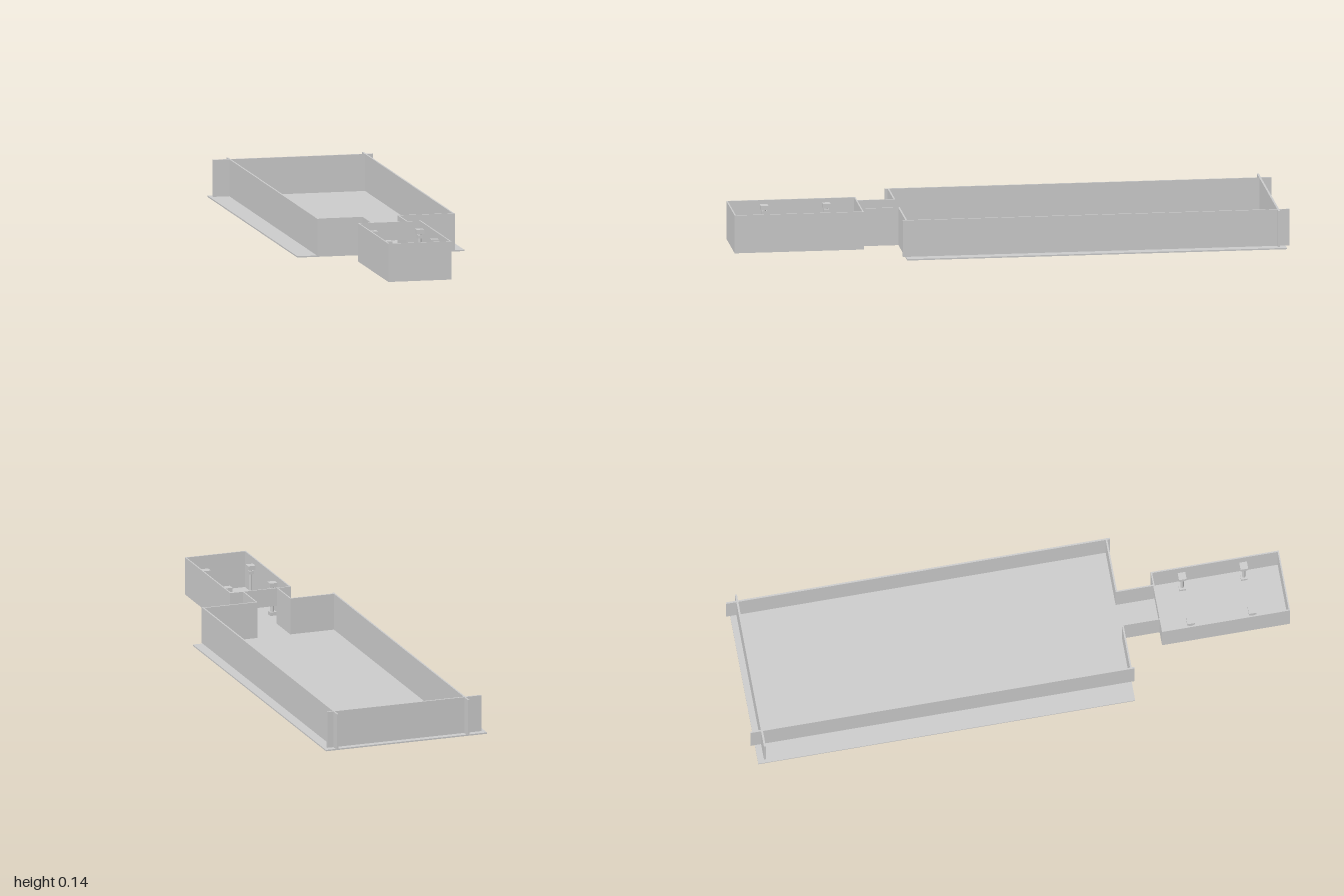
import * as THREE from 'three';

const H = 0.14; // wall height
const T = 0.005; // sheet thickness

export function createModel() {
  const model = new THREE.Group();
  model.name = 'tray';
  const material = new THREE.MeshStandardMaterial({ color: 0xcccccc, flatShading: true });

  // Box given by its extents on each axis
  function slab(name, x0, x1, y0, y1, z0, z1, parent = model) {
    const mesh = new THREE.Mesh(new THREE.BoxGeometry(x1 - x0, y1 - y0, z1 - z0), material);
    mesh.position.set((x0 + x1) / 2, (y0 + y1) / 2, (z0 + z1) / 2);
    mesh.name = name;
    parent.add(mesh);
    return mesh;
  }

  // Floors: wide tray, narrow neck, small front box
  slab('trayFloor', -0.31, 0.31, 0, T, -0.985, 0.397);
  slab('neckFloor', -0.065, 0.065, 0, T, 0.397, 0.53);
  slab('boxFloor', -0.117, 0.117, 0, T, 0.53, 1);

  // Tray walls, overlapping past each other at the rear corners
  slab('traySideWall', -0.237, -0.231, T, H, -1, 0.408);
  slab('traySideWall', 0.267, 0.273, T, H, -1, 0.408);
  slab('trayBackWall', -0.297, 0.296, T, H, -0.962, -0.955);
  slab('trayFrontWall', -0.231, -0.063, T, H, 0.392, 0.398);
  slab('trayFrontWall', 0.063, 0.267, T, H, 0.392, 0.398);

  // Neck and box side walls, mirrored
  for (const s of [-1, 1]) {
    const side = (name, a, b, z0, z1) =>
      slab(name, Math.min(s * a, s * b), Math.max(s * a, s * b), T, H, z0, z1);
    side('neckWall', 0.063, 0.068, 0.398, 0.53);
    side('boxSideWall', 0.112, 0.117, 0.53, 1);
  }
  slab('boxFrontWall', -0.112, 0.112, T, H, 0.995, 1);

  // Rear wall of the box with a passage through to the neck
  const outline = new THREE.Shape([
    [-0.112, T], [-0.063, T], [-0.063, 0.073], [0.063, 0.073],
    [0.063, T], [0.112, T], [0.112, H], [-0.112, H],
  ].map(([x, y]) => new THREE.Vector2(x, y)));
  const rear = new THREE.Mesh(
    new THREE.ExtrudeGeometry(outline, { depth: T, bevelEnabled: false }), material);
  rear.position.z = 0.53;
  rear.name = 'boxRearWall';
  model.add(rear);

  // Four mounting posts with square feet and caps
  for (const x of [-0.086, 0.086]) {
    for (const z of [0.64, 0.866]) {
      const post = new THREE.Group();
      post.name = 'mountingPost';
      post.position.set(x, 0, z);
      const block = (name, w, y0, y1) => slab(name, -w / 2, w / 2, y0, y1, -w / 2, w / 2, post);
      block('postFoot', 0.024, T, 0.018);
      block('postCollar', 0.018, 0.095, 0.107);
      block('postCap', 0.028, 0.112, 0.128);
      const pin = new THREE.Mesh(new THREE.CylinderGeometry(0.006, 0.006, 0.1, 12), material);
      pin.position.y = 0.064;
      pin.name = 'postPin';
      post.add(pin);
      model.add(post);
    }
  }
  return model;
}
